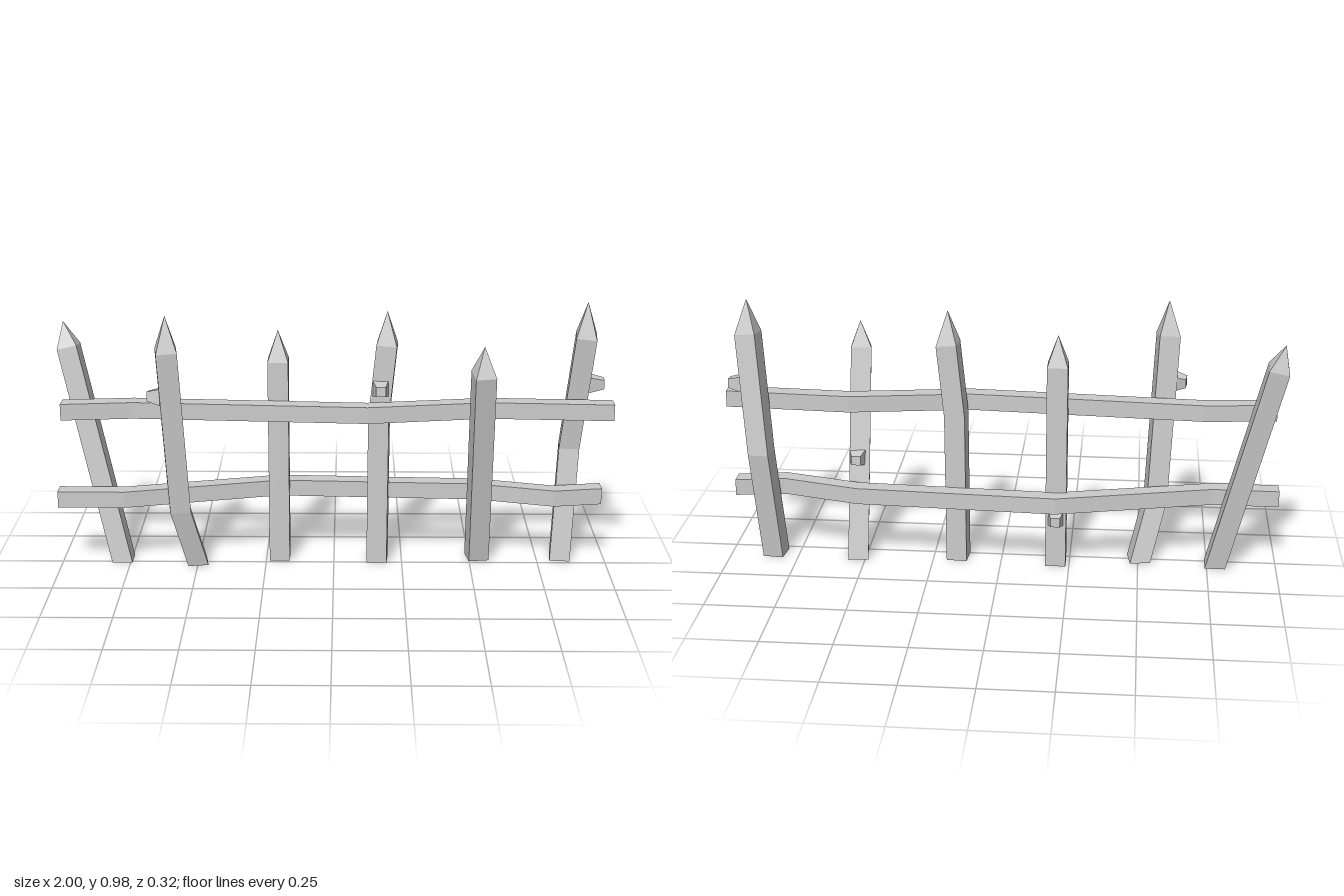
import * as THREE from 'three';

const material = new THREE.MeshStandardMaterial({ color: 0xcccccc, flatShading: true, side: THREE.DoubleSide });
const V = (x, y, z) => new THREE.Vector3(x, y, z);

// Flat-faced skin over a list of four-cornered rings
function loft(rings, capped) {
  const out = [];
  const tri = (...pts) => pts.forEach(p => out.push(p.x, p.y, p.z));
  const quad = (a, b, c, d) => { tri(a, b, c); tri(a, c, d); };
  for (let i = 0; i < rings.length - 1; i++) {
    const lo = rings[i], hi = rings[i + 1];
    for (let j = 0; j < 4; j++) {
      const k = (j + 1) % 4;
      if (hi[j].equals(hi[k])) tri(lo[j], lo[k], hi[j]);
      else quad(lo[j], lo[k], hi[k], hi[j]);
    }
  }
  if (capped) {
    const [a, b, c, d] = rings[0];
    quad(d, c, b, a);
    quad(...rings[rings.length - 1]);
  }
  const geo = new THREE.BufferGeometry();
  geo.setAttribute('position', new THREE.Float32BufferAttribute(out, 3));
  geo.computeVertexNormals();
  return geo;
}

// Square stake, open below: path runs foot, optional bend, shoulder, tip
function picketGeometry(path, yaw) {
  const pts = path.map(p => V(...p)), n = pts.length;
  const u = V(Math.cos(yaw), 0, -Math.sin(yaw)), v = V(Math.sin(yaw), 0, Math.cos(yaw));
  const lean = pts[n - 2].clone().sub(pts[n - 3]).normalize();
  const rings = pts.map((p, i) => [[-1, 1], [1, 1], [1, -1], [-1, -1]].map(([a, b]) => {
    if (i === n - 1) return p.clone();
    const off = u.clone().multiplyScalar(a * 0.037).addScaledVector(v, b * 0.039);
    // the shoulder is cut square to the stake
    if (i === n - 2) off.addScaledVector(lean, -off.dot(lean));
    return p.clone().add(off);
  }));
  return loft(rings, false);
}

// Level rail bending in z: path of [x, z]
function railGeometry(y, path) {
  const h = 0.03;
  return loft(path.map(([x, z]) =>
    [[h, -h], [h, h], [-h, h], [-h, -h]].map(([dy, dz]) => V(x, y + dy, z + dz))), true);
}

// Tapered branch stub from base along a direction
function knotMesh(base, dir, length) {
  const sunk = 0.012;
  const geo = new THREE.CylinderGeometry(0.024, 0.042, length + sunk, 4);
  geo.rotateY(Math.PI / 4).translate(0, (length - sunk) / 2, 0);
  const mesh = new THREE.Mesh(geo, material);
  mesh.quaternion.setFromUnitVectors(V(0, 1, 0), V(...dir).normalize());
  mesh.position.set(...base);
  return mesh;
}

export function createModel() {
  const fence = new THREE.Group();
  fence.name = 'fence';
  const add = (mesh, name) => { mesh.name = name; fence.add(mesh); };

  // Pickets, from the -x end
  const pickets = [
    { yaw: 0, path: [[-0.78, 0, -0.025], [-0.962, 0.79, -0.122], [-0.98, 0.88, -0.135]] },
    { yaw: 0.15, path: [[-0.503, 0, 0], [-0.557, 0.225, 0.05], [-0.585, 0.835, 0.106], [-0.585, 0.96, 0.106]] },
    { yaw: 0, path: [[-0.2, 0, -0.05], [-0.2, 0.76, -0.05], [-0.2, 0.87, -0.05]] },
    { yaw: -0.08, path: [[0.16, 0, -0.032], [0.163, 0.56, -0.032], [0.19, 0.825, -0.032], [0.19, 0.945, -0.032]] },
    { yaw: 0.15, path: [[0.53, 0, -0.055], [0.525, 0.755, 0.118], [0.525, 0.855, 0.118]] },
    { yaw: -0.1, path: [[0.838, 0, -0.055], [0.862, 0.42, -0.108], [0.9, 0.85, -0.052], [0.9, 0.975, -0.05]] },
  ];
  pickets.forEach(({ path, yaw }, i) =>
    add(new THREE.Mesh(picketGeometry(path, yaw), material), `picket${i + 1}`));

  // Rails weaving between the pickets
  add(new THREE.Mesh(railGeometry(0.59,
    [[-0.975, 0.015], [-0.72, -0.01], [0.12, 0.045], [0.55, -0.02], [1, 0.005]]), material), 'upperRail');
  add(new THREE.Mesh(railGeometry(0.26,
    [[-1, 0.018], [-0.76, 0.02], [-0.2, -0.115], [0.52, -0.08], [0.8, -0.006], [0.975, -0.034]]), material), 'lowerRail');

  // Branch stubs
  const knots = [
    [[-0.617, 0.665, 0.09], [-1, 0, -0.15], 0.038],
    [[0.167, 0.67, 0.008], [0, 0.05, 1], 0.05],
    [[0.925, 0.67, -0.072], [1, 0, 0.05], 0.048],
    [[0.53, 0.37, -0.008], [0, 0.05, -1], 0.037],
    [[-0.2, 0.19, -0.089], [0, 0, -1], 0.04],
  ];
  knots.forEach((k, i) => add(knotMesh(...k), `branchStub${i + 1}`));
  return fence;
}
